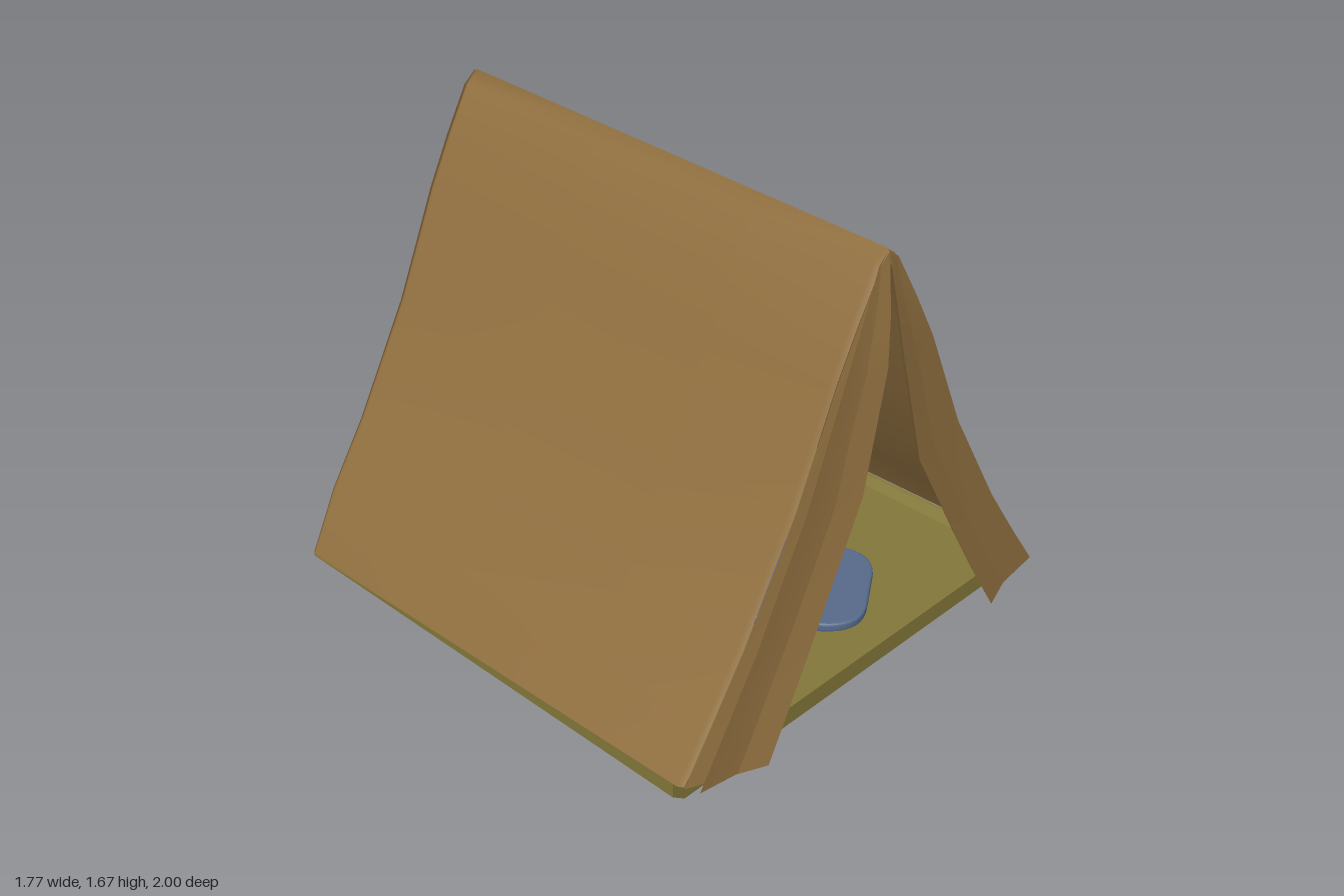
import * as THREE from 'three';
import { RoundedBoxGeometry } from 'three/addons/geometries/RoundedBoxGeometry.js';

const paint = (color) => new THREE.MeshStandardMaterial({ color, roughness: 1, side: THREE.DoubleSide });
const canvas = paint(0x917040);
const groundsheet = paint(0x82773a);
const blue = paint(0x566a8a);
const paleBlue = paint(0x7fa6b8);

// Half outline of the tent from ridge to hem: x, y
const outline = [[0, 1.67], [0.05, 1.63], [0.14, 1.465], [0.23, 1.29], [0.4, 0.9], [0.62, 0.5], [0.77, 0.27], [0.885, 0.1]];
const FRONT = 0.91, BACK = -0.96;

// The hem drops towards the back
const hem = (y, z) => y - (y < 0.2 ? 0.06 * (0.9 - z) / 1.86 : 0);

// Smooth surface through a grid of points; point(i, j) returns [x, y, z]
function gridSurface(rows, cols, point) {
  const pos = [], index = [];
  for (let i = 0; i < rows; i++) {
    for (let j = 0; j < cols; j++) {
      pos.push(...point(i, j));
      if (i && j) {
        const d = i * cols + j, c = d - 1, b = d - cols, a = b - 1;
        index.push(a, c, b, b, c, d);
      }
    }
  }
  const geo = new THREE.BufferGeometry();
  geo.setAttribute('position', new THREE.Float32BufferAttribute(pos, 3));
  geo.setIndex(index);
  geo.computeVertexNormals();
  return geo;
}

function add(parent, name, geo, material) {
  const mesh = new THREE.Mesh(geo, material);
  mesh.name = name;
  parent.add(mesh);
  return mesh;
}

export function createModel() {
  const tent = new THREE.Group();
  tent.name = 'tent';

  // Roof: the full outline swept from front to back, with softened ends
  const arch = [...outline.slice(1).reverse().map(([x, y]) => [-x, y]), ...outline];
  const stations = [[FRONT, 0.012], [0.89, 0], [0.4, 0], [-0.3, 0], [-0.94, 0], [BACK, 0.012]];
  add(tent, 'roof', gridSurface(stations.length, arch.length, (i, j) => {
    const [z, inset] = stations[i], [x, y] = arch[j];
    return [x - Math.sign(x) * inset, hem(y, z) - (y > 1.5 ? inset * 0.6 : 0), z];
  }), canvas);

  // Back wall: fills the outline and bulges along its middle
  add(tent, 'backWall', gridSurface(outline.length, 9, (i, j) => {
    const u = 1 - j / 4, [x, y] = outline[i];
    const bulge = 0.01 + 0.03 * Math.sin(Math.PI * Math.min(1, y / 1.67));
    return [x * u * 0.99, hem(y, BACK) - (y > 1.5 ? 0.007 : 0), BACK - bulge * (1 - Math.abs(u)) * (y > 1.6 ? 0.2 : 1)];
  }).scale(-1, 1, 1).toNonIndexed(), canvas);

  // Door flaps: open edge x, y, z for each outline point
  const opening = [[0, 1.625, 0.915], [0.004, 1.61, 0.92], [0.02, 1.45, 0.945], [0.04, 1.29, 0.962],
    [0.14, 0.87, 0.972], [0.35, 0.47, 0.985], [0.47, 0.25, 0.992], [0.58, 0.06, 1.0]];
  for (const side of [1, -1]) {
    const flap = new THREE.Group();
    flap.name = side > 0 ? 'leftFlap' : 'rightFlap';
    tent.add(flap);
    add(flap, 'flapFace', gridSurface(outline.length, 4, (i, j) => {
      const t = j / 3, [x, y] = outline[i], [ex, ey, ez] = opening[i];
      const ox = Math.max(0, x - 0.012);
      return [side * (ox + (ex - ox) * t), y - 0.007 + (ey - y + 0.007) * t, FRONT + (ez - FRONT) * t];
    }), canvas);
    // Turned-back lining along the open edge
    add(flap, 'flapLining', gridSurface(outline.length, 3, (i, j) => {
      const [x, y] = outline[i], [ex, ey, ez] = opening[i];
      const t = [0, 0.06, 0.9][j];
      return [side * (ex + (x - ex) * t), ey + (y - ey) * t, ez - [0, 0.03, 0.04][j] * (ez - 0.89) / 0.11];
    }), canvas);
  }

  // Groundsheet: shallow tray, chamfered below and thinning towards the back
  const tray = new THREE.Shape([[-0.83, 0], [0.83, 0], [0.883, 0.04], [0.883, 0.095], [0.83, 0.07],
    [-0.83, 0.07], [-0.883, 0.095], [-0.883, 0.04]].map(([x, y]) => new THREE.Vector2(x, y)));
  const floor = new THREE.ExtrudeGeometry(tray, { depth: 1.82, bevelEnabled: false });
  floor.translate(0, 0, -0.95);
  const p = floor.attributes.position;
  for (let i = 0; i < p.count; i++) {
    if (p.getZ(i) < 0) p.setY(i, 0.025 + p.getY(i) * 0.22);
  }
  floor.computeVertexNormals();
  add(tent, 'groundsheet', floor, groundsheet);

  // Bedding: sleeping bag with a rounded foot and a pillow, lying askew
  const bedding = new THREE.Group();
  bedding.name = 'bedding';
  bedding.position.set(0.056, 0.072, 0.31);
  bedding.rotation.y = 0.59;
  tent.add(bedding);
  const bag = new THREE.Shape();
  bag.moveTo(-0.22, 0.42);
  bag.lineTo(-0.22, -0.3);
  bag.quadraticCurveTo(-0.21, -0.42, -0.1, -0.43);
  bag.lineTo(0.1, -0.43);
  bag.quadraticCurveTo(0.21, -0.42, 0.22, -0.3);
  bag.lineTo(0.22, 0.42);
  const bagGeo = new THREE.ExtrudeGeometry(bag, {
    depth: 0.016, bevelThickness: 0.01, bevelSize: 0.012, bevelSegments: 3, curveSegments: 8,
  });
  bagGeo.rotateX(-Math.PI / 2).translate(0, 0.01, 0);
  add(bedding, 'sleepingBag', bagGeo, blue);
  add(bedding, 'pillow', new RoundedBoxGeometry(0.4, 0.036, 0.24, 3, 0.017), paleBlue)
    .position.set(0, 0.02, -0.57);

  return tent;
}
